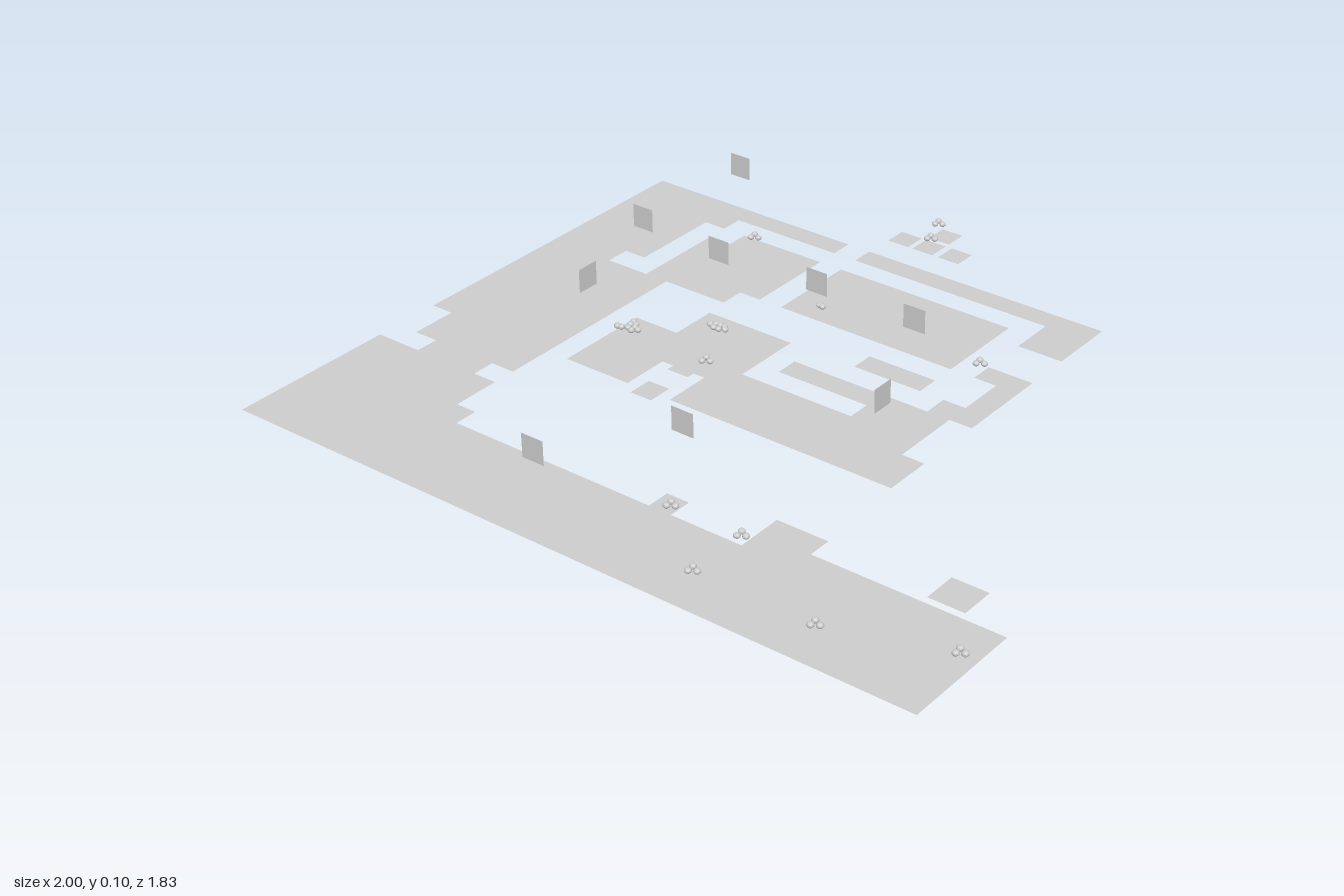
import * as THREE from 'three';

const material = new THREE.MeshStandardMaterial({ color: 0xcccccc, side: THREE.DoubleSide });
const stone = new THREE.MeshStandardMaterial({ color: 0xcccccc, flatShading: true });

// Flat floor plate on y = 0 from a list of [x, z] corners
function floorPlate(name, corners) {
  const shape = new THREE.Shape(corners.map(([x, z]) => new THREE.Vector2(x, -z)));
  const mesh = new THREE.Mesh(new THREE.ShapeGeometry(shape).rotateX(-Math.PI / 2), material);
  mesh.name = name;
  return mesh;
}

const rect = (x0, x1, z0, z1) => [[x0, z0], [x1, z0], [x1, z1], [x0, z1]];

export function createModel() {
  const model = new THREE.Group();
  model.name = 'floorPlan';

  // Floor areas
  const floors = {
    outerFloor: [
      [-1, -0.685], [-0.34, -0.685], [-0.34, -0.62], [-0.67, -0.62], [-0.67, -0.555],
      [-0.735, -0.555], [-0.735, -0.29], [-0.8, -0.29], [-0.8, -0.22], [-0.6, -0.22],
      [-0.6, 0.38], [-0.67, 0.38], [-0.67, 0.445], [-0.6, 0.445], [-0.6, 0.58],
      [-0.54, 0.58], [-0.54, 0.645], [0.065, 0.645], [0.065, 0.58], [0.13, 0.58],
      [0.13, 0.645], [0.335, 0.645], [0.335, 0.515], [0.48, 0.515], [0.48, 0.58],
      [1, 0.58], [1, 0.915], [-1, 0.915], [-1, 0.445], [-0.865, 0.445],
      [-0.865, 0.38], [-0.935, 0.38], [-0.935, 0.25], [-1, 0.25],
    ],
    backFloor: [
      [-0.27, -0.685], [0.465, -0.685], [0.465, -0.49], [0.335, -0.49],
      [0.335, -0.62], [-0.27, -0.62],
    ],
    sideRoomFloor: [
      [-0.6, -0.555], [-0.34, -0.555], [-0.34, -0.29], [-0.405, -0.29],
      [-0.405, -0.22], [-0.67, -0.22], [-0.67, -0.49], [-0.6, -0.49],
    ],
    mainRoomFloor: rect(-0.27, 0.265, -0.555, -0.29),
    stripFloor: rect(0.065, 0.265, -0.22, -0.155),
    centreFloor: [
      [0.335, -0.355], [0.465, -0.355], [0.465, -0.085], [0.4, -0.085], [0.4, 0.115],
      [0.465, 0.115], [0.465, 0.25], [-0.2, 0.25], [-0.2, 0.115], [-0.235, 0.115],
      [-0.235, 0.138], [-0.3, 0.138], [-0.3, 0.115], [-0.335, 0.115], [-0.335, 0.25],
      [-0.535, 0.25], [-0.535, -0.02], [-0.4, -0.02], [-0.4, -0.155], [-0.135, -0.155],
      [-0.135, 0.045], [0.2, 0.045], [0.2, -0.02], [-0.07, -0.02], [-0.07, -0.085],
      [0.335, -0.085], [0.335, -0.155], [0.4, -0.155], [0.4, -0.29], [0.335, -0.29],
    ],
    centreTile: rect(-0.3, -0.235, 0.21, 0.28),
    frontTile: rect(0.78, 0.88, 0.465, 0.56),
    backTile: rect(-0.187, -0.122, -0.915, -0.85),
  };
  for (const [name, corners] of Object.entries(floors)) model.add(floorPlate(name, corners));
  for (const x of [-0.235, -0.155, -0.07]) {
    model.add(floorPlate('backRowTile', rect(x - 0.033, x + 0.033, -0.835, -0.77)));
  }

  // Upright panels hovering over the plan: x, z, turned sideways
  const panelGeometry = new THREE.PlaneGeometry(0.067, 0.067);
  const panels = [
    [-0.79, -0.78], [-0.8, -0.365], [-0.517, -0.34], [-0.203, -0.355], [0.113, -0.345],
    [-0.035, 0.4], [-0.235, 0.705], [-0.695, -0.017, true], [0.273, 0.017, true],
  ];
  for (const [x, z, sideways] of panels) {
    const panel = new THREE.Mesh(panelGeometry, material);
    panel.position.set(x, 0.069, z);
    if (sideways) panel.rotation.y = Math.PI / 2;
    panel.name = 'uprightPanel';
    model.add(panel);
  }

  // Clusters of little pebbles: x, z, then the offsets used
  const pebbleGeometry = new THREE.IcosahedronGeometry(0.009, 1).scale(1, 0.85, 1);
  const trio = [[-0.01, -0.01], [0.01, 0], [-0.008, 0.01]];
  const pair = [[-0.005, 0], [0.006, 0.002]];
  const row = [[-0.025, 0], [-0.013, -0.009], [0.001, -0.009], [0.015, -0.009], [0.024, 0.001],
    [-0.007, 0.009], [0.009, 0.009]];
  const heap = [[-0.01, -0.024], [0.004, -0.016], [-0.008, -0.009], [0.012, -0.003], [0.026, 0.002],
    [-0.002, 0.008], [0.014, 0.014], [-0.018, 0.015], [-0.03, 0.017]];
  const clusters = [
    [-0.168, -0.87, trio], [-0.135, -0.785, trio], [-0.52, -0.503, trio], [-0.145, -0.297, pair],
    [0.347, -0.3, trio], [-0.288, -0.05, row], [-0.465, 0.083, heap], [-0.203, 0.1, trio],
    [0.147, 0.66, trio], [0.35, 0.66, trio], [0.35, 0.832, trio], [0.683, 0.832, trio],
    [0.983, 0.73, trio],
  ];
  for (const [x, z, offsets] of clusters) {
    const cluster = new THREE.Group();
    cluster.name = 'pebbleCluster';
    cluster.position.set(x, 0.043, z);
    for (const [dx, dz] of offsets) {
      const pebble = new THREE.Mesh(pebbleGeometry, stone);
      pebble.name = 'pebble';
      pebble.position.set(dx, 0, dz);
      cluster.add(pebble);
    }
    model.add(cluster);
  }
  return model;
}
